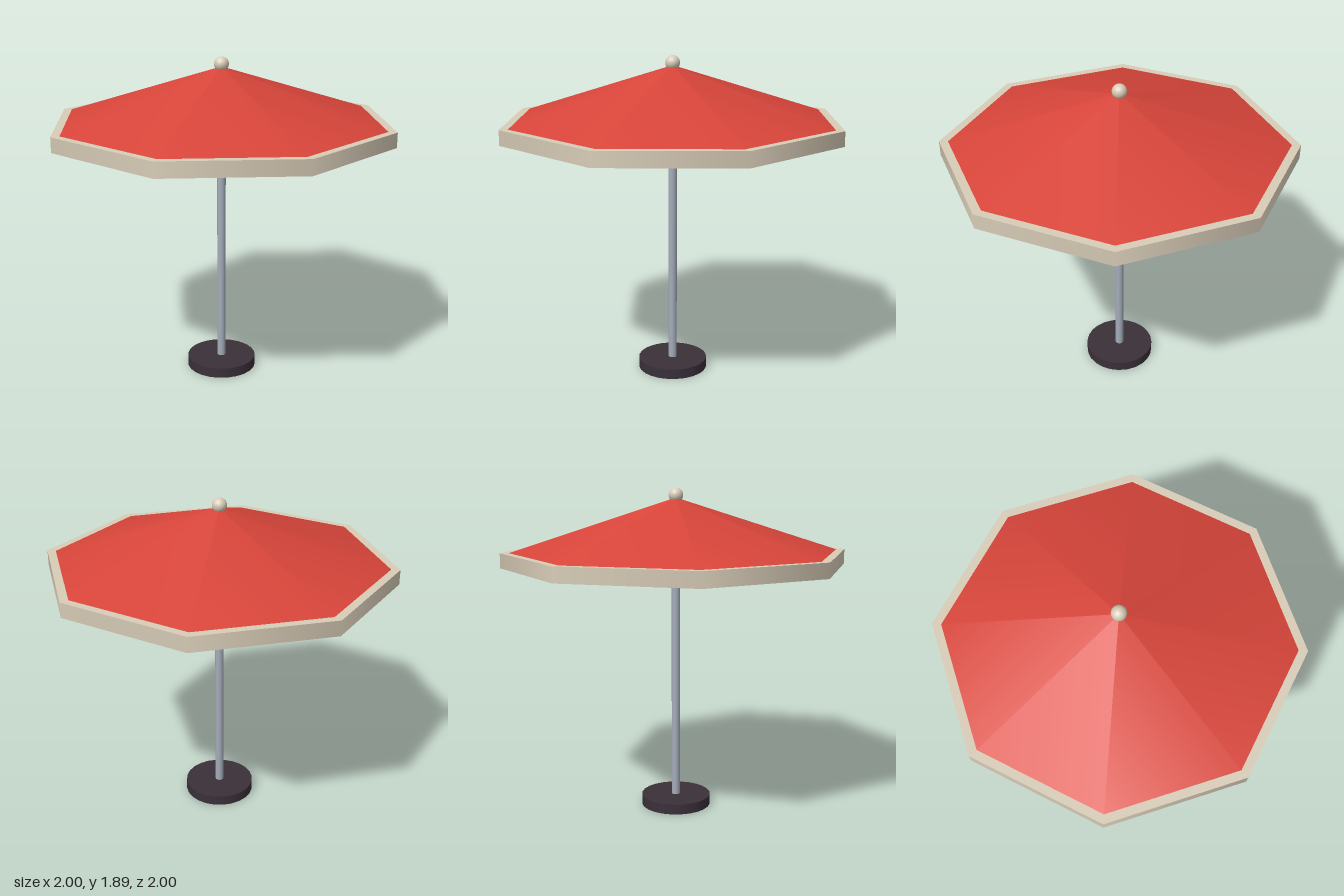
import * as THREE from 'three';

export function createModel() {
  const group = new THREE.Group();
  const material = (name, color) => {
    const m = new THREE.MeshStandardMaterial({ color });
    m.name = name;
    return m;
  };
  const red = material('red fabric', 0xd8453a);
  const cream = material('cream', 0xd9cdb8);
  const steel = material('steel grey', 0xa5adba);
  const dark = material('dark base', 0x3a3039);

  const add = (name, geometry, mat, y) => {
    const mesh = new THREE.Mesh(geometry, mat);
    mesh.name = name;
    mesh.position.y = y;
    group.add(mesh);
  };

  // Weighted foot and pole
  add('base', new THREE.CylinderGeometry(0.205, 0.205, 0.06, 24), dark, 0.03);
  add('pole', new THREE.CylinderGeometry(0.025, 0.025, 1.76, 12), steel, 0.9);

  // Eight-sided valance, closed underneath
  add('valance', new THREE.CylinderGeometry(1, 1, 0.085, 8), cream, 1.4825);

  // Eight-sided canopy rising from inside the valance rim
  add('canopy', new THREE.ConeGeometry(0.95, 0.305, 8, 1, true), red, 1.525 + 0.1525);

  // Ball on top
  add('finial', new THREE.SphereGeometry(0.042, 16, 12), cream, 1.844);

  return group;
}
